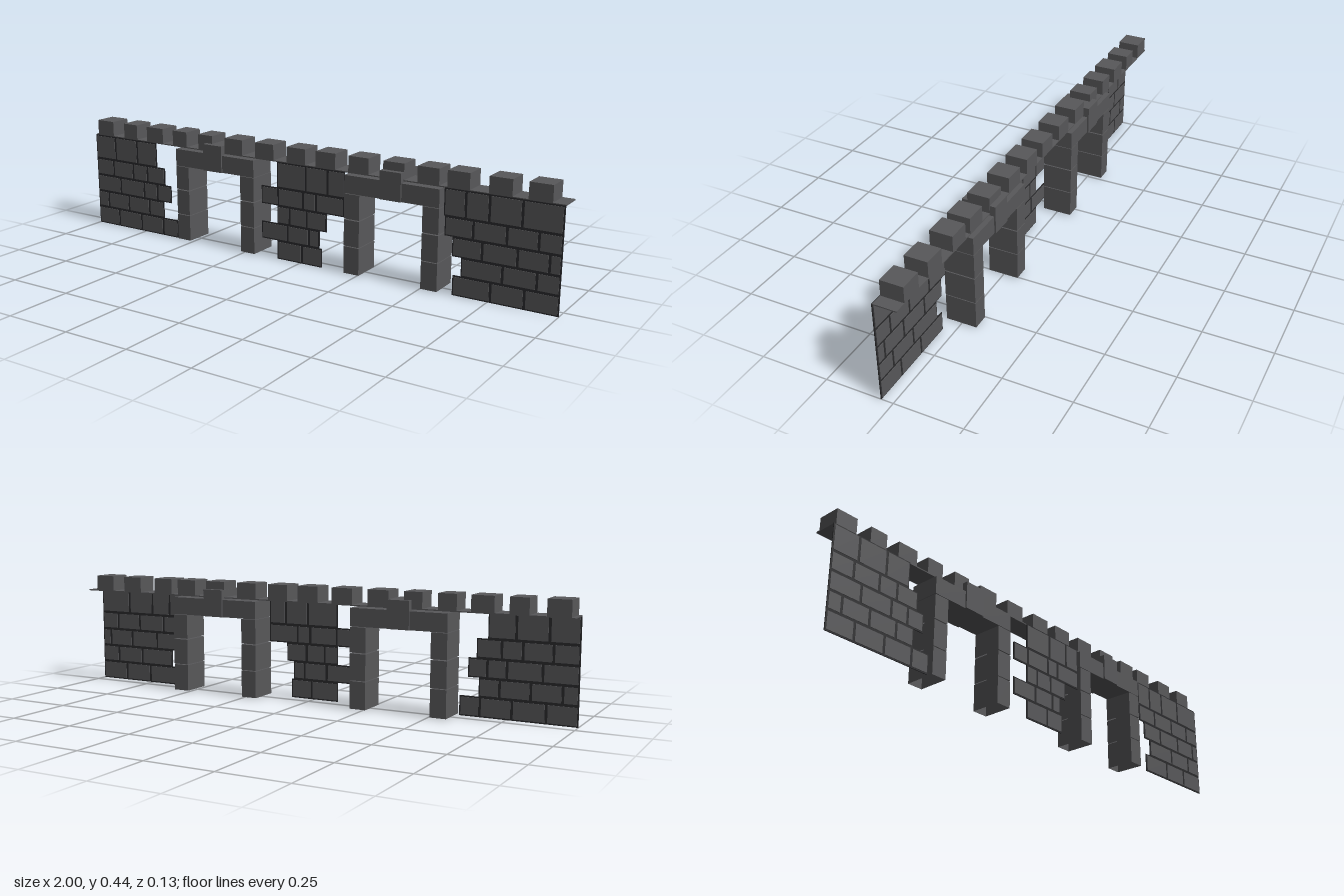
import * as THREE from 'three';

export function createModel() {
  const model = new THREE.Group();
  const stone = new THREE.MeshStandardMaterial({ color: 0x58585a, side: THREE.DoubleSide });
  stone.name = 'stone';
  const mortar = new THREE.MeshStandardMaterial({ color: 0x2b2b2d, side: THREE.DoubleSide });
  mortar.name = 'mortar';

  // Box given by its extents; open leaves out the underside
  function block(parent, name, mat, [x0, x1], [y0, y1], [z0, z1], open = false) {
    const geo = new THREE.BoxGeometry(x1 - x0, y1 - y0, z1 - z0);
    if (open) {
      const idx = Array.from(geo.index.array);
      idx.splice(18, 6);
      geo.setIndex(idx);
      geo.clearGroups();
    }
    const mesh = new THREE.Mesh(geo, mat);
    mesh.name = name;
    mesh.position.set((x0 + x1) / 2, (y0 + y1) / 2, (z0 + z1) / 2);
    parent.add(mesh);
  }

  // Brick panels: joint positions along x for each course, bottom to top
  const courses = [0, 0.072, 0.139, 0.208, 0.277, 0.375];
  const panels = {
    rightWall: [
      [-1, -0.89, -0.77, -0.655, -0.58],
      [-1, -0.945, -0.835, -0.725, -0.65],
      [-1, -0.875, -0.75, -0.68, -0.61],
      [-1, -0.91, -0.805, -0.73, -0.64],
      [-1, -0.895, -0.78, -0.68],
    ],
    middleWall: [
      [-0.1, 0.01, 0.095],
      [-0.17, -0.055, 0.04, 0.085],
      [-0.1, -0.045, 0.03, 0.115],
      [-0.17, -0.095, 0.015, 0.07, 0.19],
      [-0.1, 0.025, 0.12, 0.19],
    ],
    leftWall: [
      [0.62, 0.76, 0.88, 1],
      [0.65, 0.8, 0.92, 1],
      [0.615, 0.725, 0.85, 0.96, 1],
      [0.585, 0.69, 0.81, 0.92, 1],
      [0.58, 0.66, 0.745, 0.86, 1],
    ],
  };
  for (const [name, rows] of Object.entries(panels)) {
    const wall = new THREE.Group();
    wall.name = name;
    model.add(wall);
    rows.forEach((joints, r) => {
      const y0 = courses[r], y1 = courses[r + 1], e = 0.005;
      block(wall, 'mortarCourse', mortar, [joints[0], joints.at(-1)], [y0, y1], [0.043, 0.046]);
      for (let i = 0; i + 1 < joints.length; i++) {
        block(wall, 'brick', stone, [joints[i] + e, joints[i + 1] - e], [y0 + e, y1 - e], [0.041, 0.048]);
      }
    });
  }

  // Gateways: stacked hollow pillars, two lintel halves and a keystone
  const gates = [
    { name: 'rightGate', pillars: [[-0.57, -0.51], [-0.262, -0.2]], key: [-0.43, -0.345] },
    { name: 'leftGate', pillars: [[0.195, 0.257], [0.505, 0.567]], key: [0.34, 0.423] },
  ];
  const depth = [-0.057, 0.057];
  for (const { name, pillars, key } of gates) {
    const gate = new THREE.Group();
    gate.name = name;
    model.add(gate);
    for (const p of pillars) {
      for (const y of [[0.003, 0.104], [0.107, 0.204], [0.208, 0.3]]) {
        block(gate, 'pillarBlock', stone, p, y, depth, true);
      }
    }
    block(gate, 'lintelHalf', stone, [pillars[0][0], key[0]], [0.302, 0.368], depth);
    block(gate, 'lintelHalf', stone, [key[1], pillars[1][1]], [0.302, 0.368], depth);
    block(gate, 'keystone', stone, key, [0.302, 0.405], [-0.063, 0.063]);
  }

  // Thin walkway along the top, carrying the merlons
  block(model, 'walkway', stone, [-1, 1], [0.373, 0.377], [-0.042, 0.042]);
  const merlons = [-0.948, -0.815, -0.688, -0.562, -0.436, -0.302, -0.16, -0.02,
    0.107, 0.243, 0.383, 0.516, 0.628, 0.778, 0.915];
  merlons.forEach((x, i) => {
    const h = [1, 3, 4].includes(i) ? 0.034 : 0.041;
    block(model, 'merlon', stone, [x - h, x + h], [0.377, 0.435], [-0.042, 0.042], true);
  });
  return model;
}
